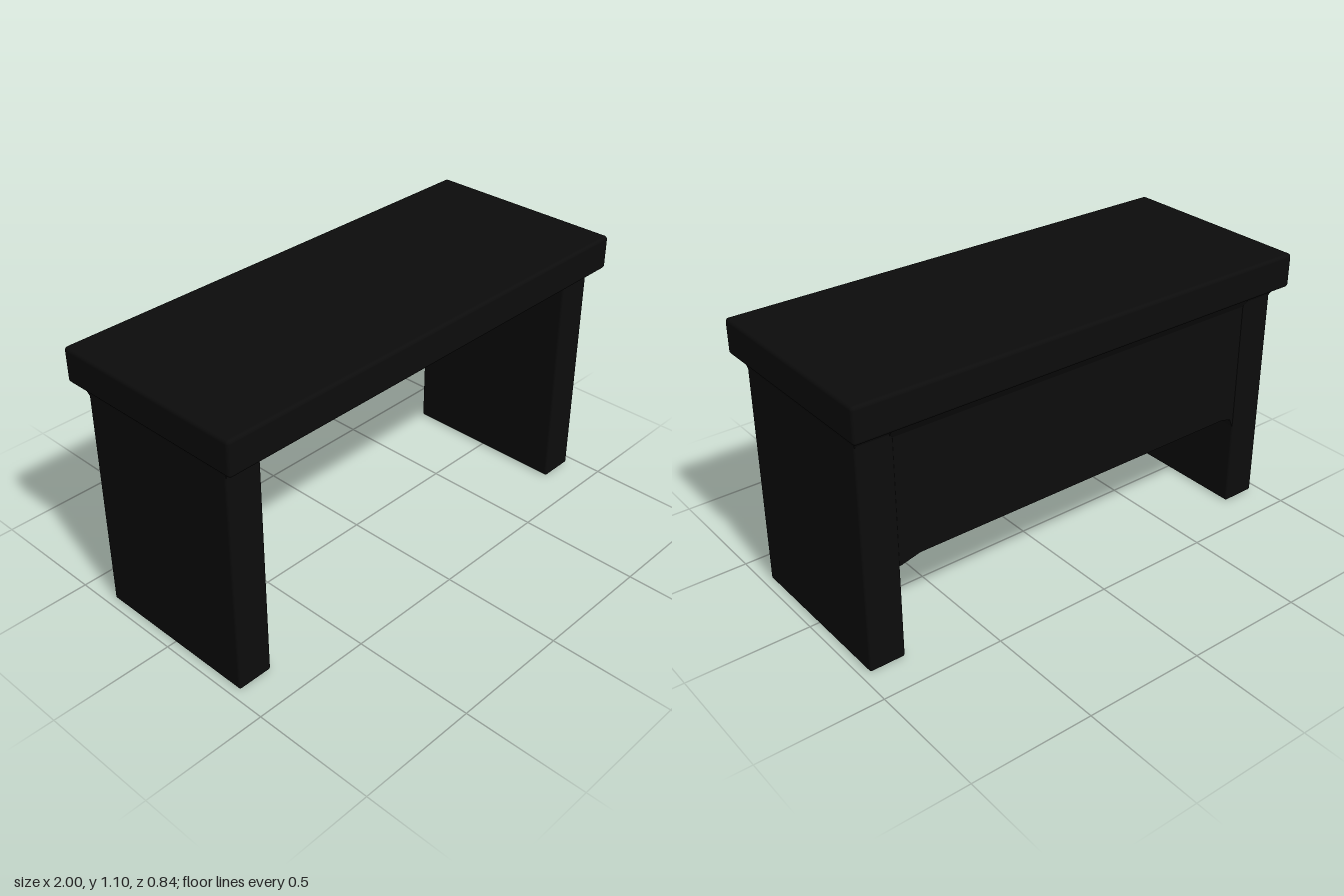
import * as THREE from 'three';
import { RoundedBoxGeometry } from 'three/addons/geometries/RoundedBoxGeometry.js';

const material = new THREE.MeshStandardMaterial({ color: 0x0c0c0c });

function add(group, name, geometry, x = 0, y = 0, z = 0) {
  const mesh = new THREE.Mesh(geometry, material);
  mesh.name = name;
  mesh.position.set(x, y, z);
  group.add(mesh);
  return mesh;
}

// Rounded box given by its lower and upper corners
function addSlab(group, name, min, max, radius) {
  const size = max.map((v, i) => v - min[i]);
  const mid = max.map((v, i) => (v + min[i]) / 2);
  add(group, name, new RoundedBoxGeometry(...size, 3, radius), ...mid);
}

// Box whose top and bottom rectangles differ: [x0, x1, z0, z1]
function flare(bottom, top, y0, y1) {
  const g = new THREE.BoxGeometry(1, 1, 1);
  const p = g.attributes.position;
  for (let i = 0; i < p.count; i++) {
    const up = p.getY(i) > 0;
    const r = up ? top : bottom;
    p.setXYZ(i, p.getX(i) > 0 ? r[1] : r[0], up ? y1 : y0, p.getZ(i) > 0 ? r[3] : r[2]);
  }
  g.computeVertexNormals();
  return g;
}

export function createModel() {
  const desk = new THREE.Group();
  desk.name = 'desk';

  // Thick top overhanging on all sides
  addSlab(desk, 'deskTop', [-1, 0.96, -0.418], [1, 1.1, 0.418], 0.014);

  // Slab legs, each with a small flare where it meets the top
  for (const s of [-1, 1]) {
    const side = s > 0 ? 'left' : 'right';
    addSlab(desk, side + 'Leg', [s * 0.89 - 0.074, 0, -0.356], [s * 0.89 + 0.074, 1, 0.356], 0.01);
    const outer = (a, b) => (s > 0 ? [a, b] : [-b, -a]);
    add(desk, side + 'LegFlare', flare(
      [...outer(0.82, 0.962), -0.354, 0.354],
      [...outer(0.812, 0.976), -0.378, 0.37], 0.915, 0.965));
  }

  // Panel between the legs at the back, with softened lower corners
  const outline = new THREE.Shape([
    [-0.85, 0.97], [-0.85, 0.36], [-0.818, 0.36], [-0.8, 0.4], [-0.75, 0.412],
    [0.73, 0.412], [0.81, 0.392], [0.85, 0.392], [0.85, 0.97],
  ].map(([x, y]) => new THREE.Vector2(x, y)));
  add(desk, 'backPanel', new THREE.ExtrudeGeometry(outline, { depth: 0.08, bevelEnabled: false }), 0, 0, -0.352);
  add(desk, 'panelFlare', flare(
    [-0.83, 0.83, -0.351, -0.275], [-0.83, 0.83, -0.378, -0.255], 0.9, 0.965));

  return desk;
}
